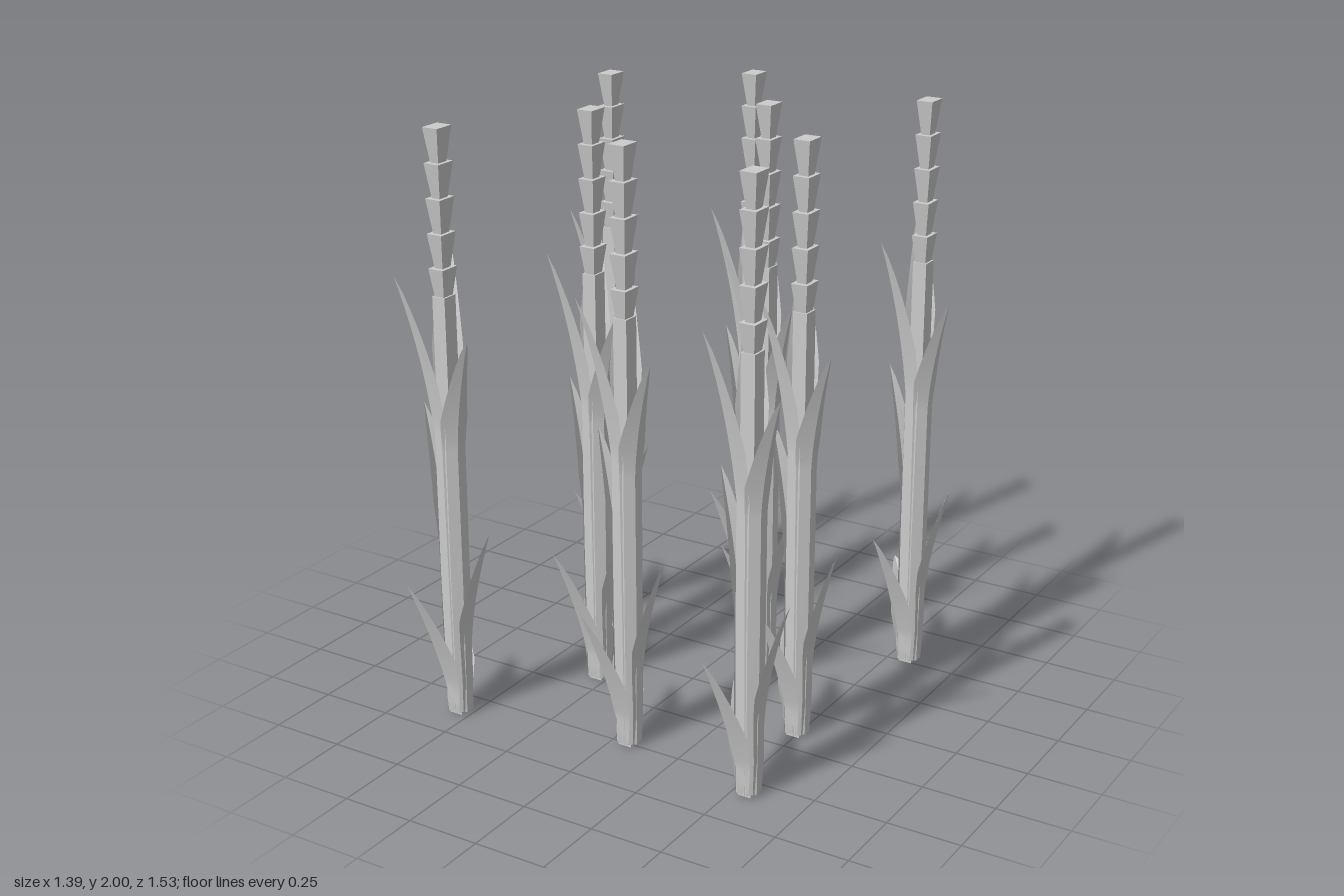
import * as THREE from 'three';

const material = new THREE.MeshStandardMaterial({ color: 0xcccccc, side: THREE.DoubleSide });
const flatMaterial = new THREE.MeshStandardMaterial({ color: 0xcccccc, flatShading: true });

// Plant positions [x, z]
const PLANTS = [
  [-0.125, -0.605], [-0.54, -0.35], [0.57, -0.525],
  [0.157, -0.21], [-0.285, 0.15], [0.493, 0.15],
  [0.057, 0.49], [-0.547, 0.6], [0.55, 0.565],
];

// Leaves: tip position, height where the blade leaves the stalk, widest width,
// and the bend's control point as fractions of the reach and rise
const LEAVES = [
  { tip: [-0.09, 1.61, -0.15], bend: 1.1, width: 0.1, ctrl: [0.15, 0.6] },
  { tip: [-0.095, 1.54, 0.125], bend: 1.0, width: 0.1, ctrl: [0.25, 0.5] },
  { tip: [0.123, 1.345, 0.05], bend: 0.95, width: 0.1, ctrl: [0.1, 0.4] },
  { tip: [-0.13, 1.067, -0.04], bend: 0.62, width: 0.095, ctrl: [0.2, 0.45] },
  { tip: [0.118, 0.655, -0.035], bend: 0.25, width: 0.105, ctrl: [0.1, 0.4] },
  { tip: [-0.075, 0.505, 0.16], bend: 0.1, width: 0.115, ctrl: [0.3, 0.45] },
  { tip: [-0.147, 0.3, -0.168], bend: 0.06, width: 0.11, ctrl: [0.2, 0.7] },
];

// A leaf hugs the stalk, then arcs outward to a point; V-shaped in section
function leafGeometry({ tip, bend, width, ctrl }) {
  const reach = Math.hypot(tip[0], tip[2]);
  const dx = tip[0] / reach, dz = tip[2] / reach;
  const r0 = 0.048, rise = tip[1] - bend;
  const curve = new THREE.QuadraticBezierCurve(
    new THREE.Vector2(r0, bend),
    new THREE.Vector2(r0 + (reach - r0) * ctrl[0], bend + rise * ctrl[1]),
    new THREE.Vector2(reach, tip[1]),
  );
  // Rows of [distance from axis, height, width]
  const rows = [[r0 - 0.006, 0.01, 0.07], [r0, bend * 0.5, 0.08]];
  const steps = 10;
  for (let i = 0; i <= steps; i++) {
    const s = i / steps, p = curve.getPoint(s);
    const swell = THREE.MathUtils.lerp(0.085, width, Math.min(1, s / 0.3));
    rows.push([p.x, p.y, swell * (s < 0.3 ? 1 : Math.pow(1 - (s - 0.3) / 0.7, 0.7))]);
  }
  const positions = [], index = [];
  for (const side of [-1, 1]) {
    const start = positions.length / 3;
    rows.forEach(([r, y, w], i) => {
      // Margins lie inward and upward of the midrib, square to the path
      const a = rows[Math.max(0, i - 1)], b = rows[Math.min(rows.length - 1, i + 1)];
      const len = Math.hypot(b[0] - a[0], b[1] - a[1]);
      const fold = w * 0.28;
      const er = r - fold * (b[1] - a[1]) / len;
      const ey = y + fold * (b[0] - a[0]) / len;
      const half = side * w / 2;
      positions.push(dx * r, y, dz * r);
      positions.push(dx * er - dz * half, ey, dz * er + dx * half);
      if (i === 0) return;
      const k = start + i * 2;
      if (side < 0) index.push(k - 2, k - 1, k, k - 1, k + 1, k);
      else index.push(k - 2, k, k - 1, k - 1, k, k + 1);
    });
  }
  const geometry = new THREE.BufferGeometry();
  geometry.setAttribute('position', new THREE.Float32BufferAttribute(positions, 3));
  geometry.setIndex(index);
  geometry.computeVertexNormals();
  return geometry;
}

// Tapered block: narrow at the foot, wide at the top
function budGeometry() {
  const geometry = new THREE.BoxGeometry(0.056, 0.112, 0.074);
  const p = geometry.attributes.position;
  for (let i = 0; i < p.count; i++) {
    if (p.getY(i) < 0) p.setXYZ(i, p.getX(i) * 0.55, p.getY(i), p.getZ(i) * 0.55);
  }
  geometry.computeVertexNormals();
  return geometry;
}

export function createModel() {
  const model = new THREE.Group();
  model.name = 'plantCluster';
  const leaves = LEAVES.map(leafGeometry);
  const bud = budGeometry();
  const stalk = new THREE.BoxGeometry(0.048, 1.46, 0.056);

  PLANTS.forEach(([x, z]) => {
    const plant = new THREE.Group();
    plant.name = 'plant';
    const add = (name, geometry, mat, y = 0) => {
      const mesh = new THREE.Mesh(geometry, mat);
      mesh.name = name;
      mesh.position.y = y;
      plant.add(mesh);
    };
    // Stalk, leaves and the stacked seed head
    add('stalk', stalk, flatMaterial, 0.73);
    leaves.forEach((geometry) => add('leaf', geometry, material));
    for (let i = 0; i < 5; i++) add('seedHead', bud, flatMaterial, 1.944 - i * 0.112);
    plant.position.set(x, 0, z);
    model.add(plant);
  });
  return model;
}
